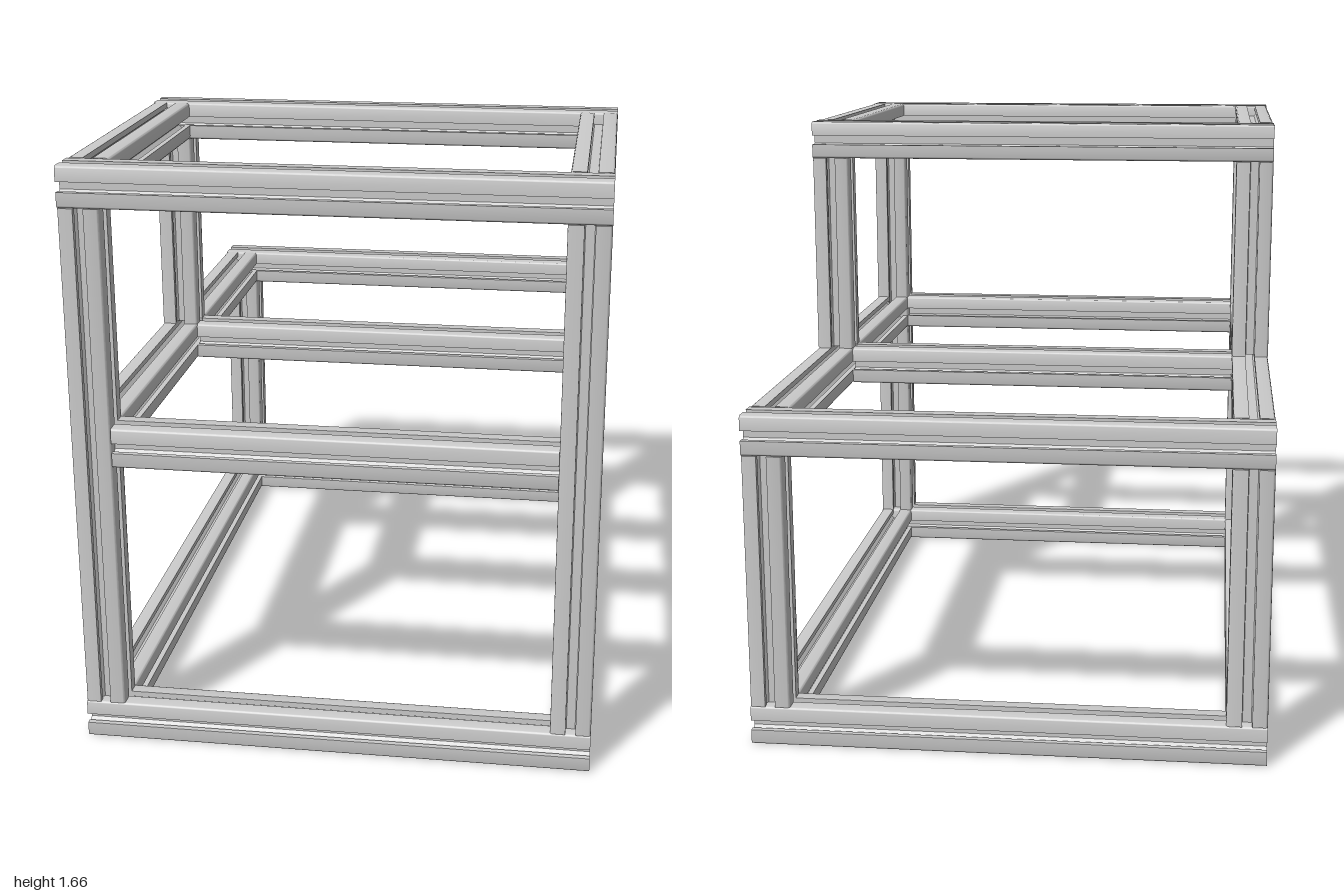
import * as THREE from 'three';
import { toCreasedNormals } from 'three/addons/utils/BufferGeometryUtils.js';

const H = 0.056; // half the width of a beam

// Slotted aluminium section: four identical sides with a T-shaped slot
function beamSection() {
  const shape = new THREE.Shape();
  const r = 0.01;
  const side = [
    [H - r, H], [0.014, H], [0.014, 0.04], [0.023, 0.04], [0.023, 0.033], [0.012, 0.021],
    [-0.012, 0.021], [-0.023, 0.033], [-0.023, 0.04], [-0.014, 0.04], [-0.014, H], [-H + r, H],
  ];
  for (let k = 0; k < 4; k++) {
    const c = Math.round(Math.cos(k * Math.PI / 2)), s = Math.round(Math.sin(k * Math.PI / 2));
    const turn = (x, y) => [x * c - y * s, x * s + y * c];
    side.forEach(([x, y], i) => {
      if (k === 0 && i === 0) shape.moveTo(...turn(x, y));
      else shape.lineTo(...turn(x, y));
    });
    // rounded outer corner leading to the next side
    shape.quadraticCurveTo(...turn(-H, H), ...turn(-H, H - r));
  }
  return shape;
}

export function createModel() {
  const model = new THREE.Group();
  model.name = 'extrusionFrame';
  const material = new THREE.MeshStandardMaterial({ color: 0xcccccc });
  const section = beamSection();

  // Beam of a given length along one axis, centred on (x, y, z)
  function beam(name, axis, length, x, y, z) {
    let geo = new THREE.ExtrudeGeometry(section, { depth: length, bevelEnabled: false, curveSegments: 5 });
    geo.translate(0, 0, -length / 2);
    if (axis === 'x') geo.rotateY(Math.PI / 2);
    if (axis === 'y') geo.rotateX(-Math.PI / 2);
    geo = toCreasedNormals(geo, 0.6);
    const mesh = new THREE.Mesh(geo, material);
    mesh.name = name;
    mesh.position.set(x, y, z);
    model.add(mesh);
  }

  const W = 1.428;                           // overall width
  const inner = W - 4 * H;                   // width between the posts
  const front = 1 - H, back = -1 + H, mid = -0.026;
  const low = H, deck = 0.888, top = 1.604;  // heights of beam centres

  // Full-width cross beams
  beam('bottomFrontBeam', 'x', W, 0, low, front);
  beam('bottomBackBeam', 'x', W, 0, low, back);
  beam('deckBackBeam', 'x', W, 0, deck, back);
  beam('topFrontBeam', 'x', W, 0, top, front);
  beam('topBackBeam', 'x', W, 0, top, mid);

  // Cross beams fitted between the sides
  beam('deckFrontBeam', 'x', inner, 0, deck, front);
  beam('deckMiddleBeam', 'x', inner, 0, deck, mid);

  // Posts and rails on both sides
  for (const [side, sign] of [['left', 1], ['right', -1]]) {
    const x = sign * (W / 2 - H);
    const post = (name, y0, y1, z) => beam(side + name, 'y', y1 - y0 - 2 * H, x, (y0 + y1) / 2, z);
    const rail = (name, y, z0, z1) => beam(side + name, 'z', z1 - z0 - 2 * H, x, y, (z0 + z1) / 2);
    post('FrontPost', low, top, front);
    post('BackPost', low, deck, back);
    post('UpperPost', deck, top, mid);
    rail('BottomRail', low, back, front);
    rail('DeckRail', deck, back, front);
    rail('TopRail', top, mid, front);
  }
  return model;
}
